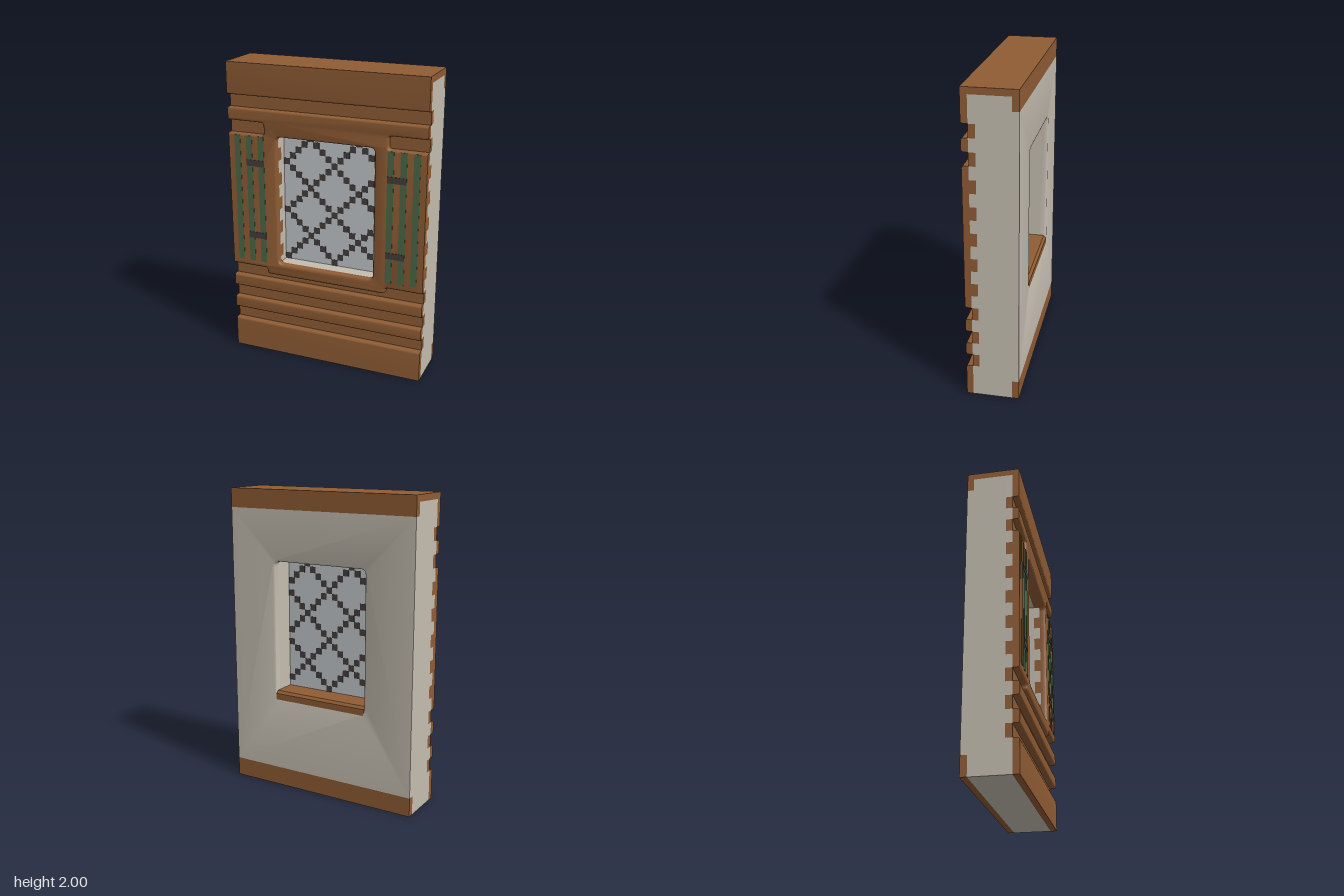
import * as THREE from 'three';
import { mergeGeometries, toCreasedNormals } from 'three/addons/utils/BufferGeometryUtils.js';

const U = 1 / 24;               // module unit
const W = 16 * U, D = 4 * U;    // half width, half depth
const WIN = { x: 8 * U, y0: 16 * U, y1: 37 * U };

const mat = (name, color, extra = {}) => {
  const m = new THREE.MeshStandardMaterial({ color, ...extra });
  m.name = name;
  return m;
};

// closed outline with softened corners
function roundedOutline(points, r, path) {
  const n = points.length;
  const P = points.map(([x, y]) => new THREE.Vector2(x, y));
  for (let i = 0; i < n; i++) {
    const p = P[i];
    const toward = (q) => p.clone().add(q.clone().sub(p).setLength(r));
    const a = toward(P[(i + n - 1) % n]), b = toward(P[(i + 1) % n]);
    if (i === 0) path.moveTo(a.x, a.y); else path.lineTo(a.x, a.y);
    path.quadraticCurveTo(p.x, p.y, b.x, b.y);
  }
  path.closePath();
  return path;
}

const rect = (x, y0, y1) => [[-x, y0], [x, y0], [x, y1], [-x, y1]];

// facing slab with rounded front edges; trimmed square at the wall's limits
function facing(points, hole, yMin = 0, yMax = 2) {
  const b = 0.014;
  const shape = roundedOutline(points, 0.02, new THREE.Shape());
  if (hole) shape.holes.push(roundedOutline(hole, 0.035, new THREE.Path()));
  const g = new THREE.ExtrudeGeometry(shape, {
    depth: U - b, bevelEnabled: true, bevelThickness: b, bevelSize: b,
    bevelOffset: -b, bevelSegments: 3, curveSegments: 4,
  });
  g.translate(0, 0, 3 * U);
  const p = g.attributes.position;
  for (let i = 0; i < p.count; i++) {
    p.setXYZ(i,
      THREE.MathUtils.clamp(p.getX(i), -W, W),
      THREE.MathUtils.clamp(p.getY(i), yMin, yMax),
      Math.max(p.getZ(i), 3 * U));
  }
  g.computeVertexNormals();
  return toCreasedNormals(g, 0.7);
}

function box(x0, x1, y0, y1, z0, z1) {
  return new THREE.BoxGeometry(x1 - x0, y1 - y0, z1 - z0)
    .translate((x0 + x1) / 2, (y0 + y1) / 2, (z0 + z1) / 2);
}

// full-width course of wall that leaves the window opening free
function course(y0, y1, z0, z1) {
  const cuts = [y0, WIN.y0, WIN.y1, y1].filter((y) => y >= y0 && y <= y1).sort((a, b) => a - b);
  const parts = [];
  for (let i = 0; i < cuts.length - 1; i++) {
    const [a, b] = [cuts[i], cuts[i + 1]];
    if (b - a < 1e-5) continue;
    const mid = (a + b) / 2;
    if (mid > WIN.y0 && mid < WIN.y1) {
      parts.push(box(-W, -WIN.x, a, b, z0, z1), box(WIN.x, W, a, b, z0, z1));
    } else parts.push(box(-W, W, a, b, z0, z1));
  }
  return mergeGeometries(parts);
}

export function createModel() {
  const group = new THREE.Group();
  group.name = 'timberWallWithWindow';
  const wood = mat('wood', 0x8f5c34);
  const plaster = mat('plaster', 0xc4bdb0);
  const glass = mat('glass', 0xc2c8cb);
  const iron = mat('iron', 0x463f3f);
  const green = mat('greenPaint', 0x4b6748);
  const add = (name, geometry, material) => {
    const m = new THREE.Mesh(geometry, material);
    m.name = name;
    group.add(m);
  };

  // front boards, separated by grooves
  const E = 0.75;
  for (const [a, b] of [[-0.1, 5 * U], [7 * U, 9 * U], [11 * U, 13 * U], [43 * U, 2.1]]) {
    add('frontBoard', facing(rect(E, a, b)), wood);
  }

  // middle facing: window surround and shutters in one outline
  const s = 10 * U;
  const right = [[s, 14 * U], [s, 15 * U], [E, 15 * U], [E, 37 * U], [s, 37 * U],
    [s, 39 * U], [E, 39 * U], [E, 41 * U]];
  const left = right.map(([x, y]) => [-x, y]).reverse();
  const opening = rect(WIN.x, WIN.y0, WIN.y1);
  add('windowSurround', facing([...right, ...left], opening), wood);

  // plaster core, then the layer of alternating wood and plaster courses
  const top = 47 * U;
  add('wallCore', course(0, top, -3 * U, 2 * U), plaster);
  const woodCourses = [], plasterCourses = [course(0, 5 * U, 2 * U, 3 * U)];
  for (let i = 0; i < 10; i++) {
    const y = (5 + 4 * i) * U;
    woodCourses.push(course(y, y + 2 * U, 2 * U, 3 * U));
    plasterCourses.push(course(y + 2 * U, i < 9 ? y + 4 * U : top, 2 * U, 3 * U));
  }
  add('woodCourses', mergeGeometries(woodCourses), wood);
  add('plasterCourses', mergeGeometries(plasterCourses), plaster);
  add('topCap', box(-W, W, top, 2, -3 * U, 3 * U), wood);

  // back: plaster panel between two wooden rails
  const backHole = rect(WIN.x, 15 * U, WIN.y1);
  add('backPanel', facing(rect(E, 0, 2), backHole, 3 * U, 45 * U).rotateY(Math.PI), plaster);
  add('backBottomRail', box(-W, W, 0, 3 * U, -D, -3 * U), wood);
  add('backTopRail', box(-W, W, 45 * U, 2, -D, -3 * U), wood);

  // inner window sill, profile in (depth, height) swept across the opening
  const sill = new THREE.Shape([[0, 0.61], [D, 0.61], [D, 0.652], [D - 0.016, 0.669], [0, 0.669]]
    .map(([x, y]) => new THREE.Vector2(x, y)));
  add('innerSill', new THREE.ExtrudeGeometry(sill, { depth: 2 * WIN.x, bevelEnabled: false })
    .translate(0, 0, -WIN.x).rotateY(Math.PI / 2), wood);

  // glass pane with a diamond lattice of small square cells
  add('windowPane', box(-WIN.x, WIN.x, WIN.y0, WIN.y1, 0, U), glass);
  const cells = [];
  for (let r = 0; r < 21; r++) {
    for (let c = 0; c < 16; c++) {
      if ((c - r + 28) % 8 && (c + r + 4) % 8) continue;
      const x = -WIN.x + c * U, y = WIN.y1 - r * U;
      cells.push(box(x, x + U, y - U, y, -0.002, U + 0.002));
    }
  }
  add('windowLattice', mergeGeometries(cells), iron);

  // painted shutter stripes and iron hinges, mirrored
  for (const side of [-1, 1]) {
    const plate = (x0, x1, y0, y1, t) => {
      const [a, b] = side > 0 ? [x0, x1] : [-x1, -x0];
      return box(a, b, y0, y1, D - 0.002, D + t);
    };
    for (let i = 0; i < 3; i++) {
      const x = (10 + 2 * i) * U;
      add('shutterStripe', plate(x, x + U, 16 * U, 37 * U - 0.008, 0.002), green);
    }
    for (const y of [20 * U, 32 * U]) {
      add('shutterHinge', plate(10 * U, 13 * U, y, y + U, 0.004), iron);
    }
  }
  return group;
}
